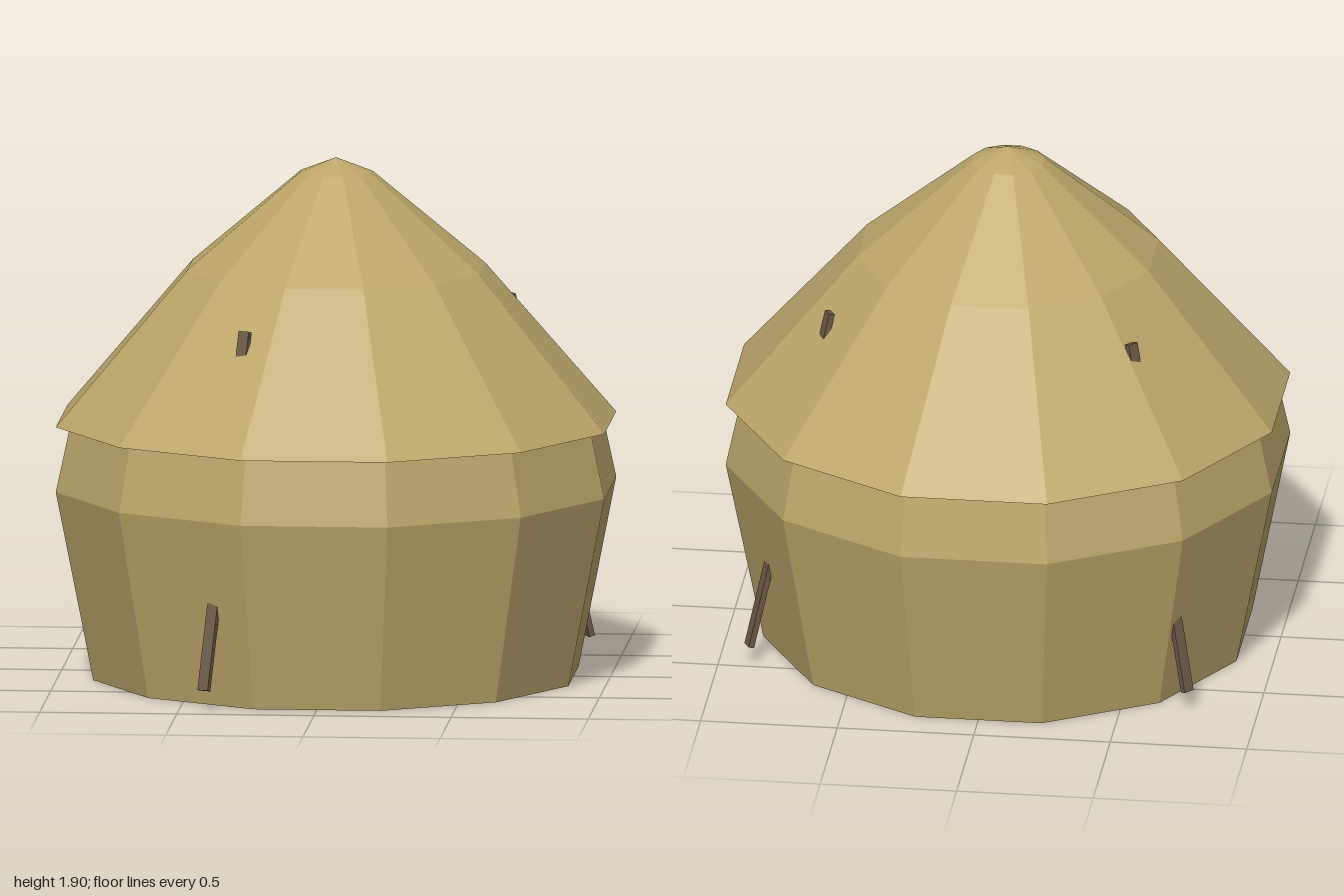
import * as THREE from 'three';

const SIDES = 12;
const straw = new THREE.MeshStandardMaterial({ color: 0xbda66a, flatShading: true });
straw.name = 'straw';
const darkWood = new THREE.MeshStandardMaterial({ color: 0x6c5846, flatShading: true });
darkWood.name = 'darkWood';

// Twelve-sided shell from [flat-to-centre distance, height] pairs, with flats facing the axes
function facetedShell(name, profile) {
  const k = 1 / Math.cos(Math.PI / SIDES);
  const points = profile.map(([r, y]) => new THREE.Vector2(r * k, y));
  const geometry = new THREE.LatheGeometry(points, SIDES, Math.PI / SIDES).toNonIndexed();
  geometry.computeVertexNormals();
  const mesh = new THREE.Mesh(geometry, straw);
  mesh.name = name;
  return mesh;
}

// Flat pole leaning inwards from the foot of the wall and out through the roof
function leaningPole(name, angle) {
  const bottom = new THREE.Vector2(1.01, 0.075);
  const top = new THREE.Vector2(0.695, 1.352);
  const along = top.clone().sub(bottom);
  const mesh = new THREE.Mesh(new THREE.BoxGeometry(0.042, along.length(), 0.022), darkWood);
  mesh.rotation.x = -Math.atan2(-along.x, along.y);
  mesh.position.set(0, (bottom.y + top.y) / 2, (bottom.x + top.x) / 2);
  mesh.name = name;
  const pivot = new THREE.Group();
  pivot.name = name + 'Pivot';
  pivot.rotation.y = angle;
  pivot.add(mesh);
  return pivot;
}

export function createModel() {
  const hut = new THREE.Group();
  hut.name = 'hut';

  // Bulging wall with a closed floor
  hut.add(facetedShell('wall', [[0, 0], [0.866, 0], [1, 0.695], [0.949, 0.935]]));

  // Domed roof with a flat underside at the eaves
  hut.add(facetedShell('roof', [[0, 0.934], [1, 0.934], [0.533, 1.495], [0.13, 1.845], [0, 1.898]]));

  // Three support poles, by direction of the foot (x, z)
  [[-0.41, 0.93], [0.885, -0.482], [-0.743, -0.685]].forEach(([x, z], i) => {
    hut.add(leaningPole('supportPole' + (i + 1), Math.atan2(x, z)));
  });

  return hut;
}
